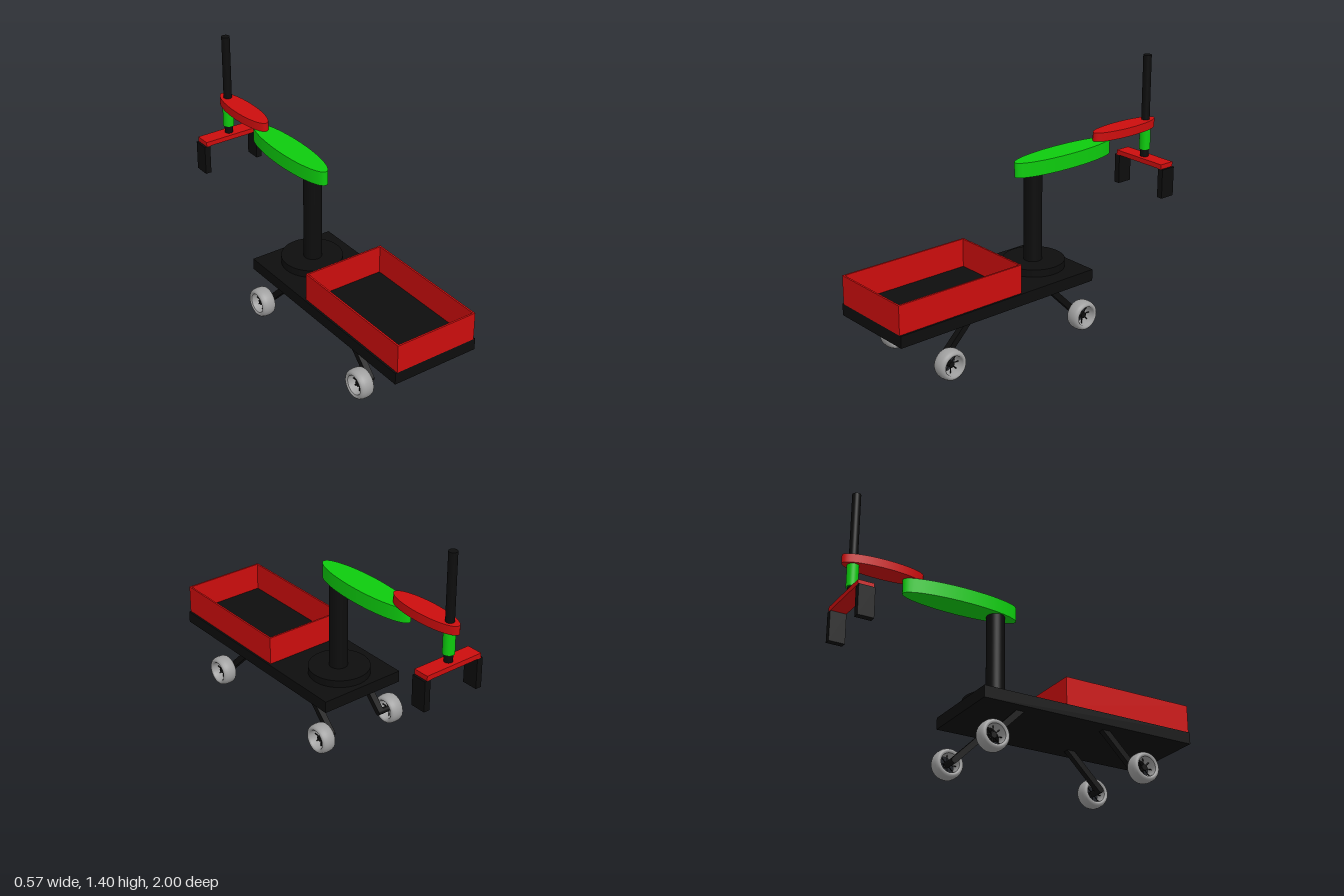
import * as THREE from 'three';

export function createModel() {
  const mat = (name, color, side = THREE.FrontSide) => {
    const m = new THREE.MeshStandardMaterial({ color, side });
    m.name = name;
    return m;
  };
  const black = mat('black', 0x0d0d0d);
  const red = mat('red', 0xcc0d0d);
  const green = mat('green', 0x0dcc0d);
  const grey = mat('grey', 0xa0a0a0, THREE.DoubleSide);

  const model = new THREE.Group();
  model.name = 'robotCart';

  const add = (name, geo, material, parent = model) => {
    const mesh = new THREE.Mesh(geo, material);
    mesh.name = name;
    parent.add(mesh);
    return mesh;
  };
  // Box given by its min and max on each axis
  const box = (name, material, [x0, x1], [y0, y1], [z0, z1]) =>
    add(name, new THREE.BoxGeometry(x1 - x0, y1 - y0, z1 - z0), material)
      .position.set((x0 + x1) / 2, (y0 + y1) / 2, (z0 + z1) / 2);
  // Upright cylinder, optionally elliptical in z
  const post = (name, material, z, y0, y1, rx, rz = rx) => {
    const geo = new THREE.CylinderGeometry(1, 1, y1 - y0, 48).scale(rx, 1, rz);
    add(name, geo, material).position.set(0, (y0 + y1) / 2, z);
  };

  // Platform
  box('platform', black, [-0.258, 0.258], [0.283, 0.35], [-0.294, 1]);

  // Open cargo tray with thin walls
  const w = 0.247, t = 0.01, trayY = [0.35, 0.512];
  box('trayFront', red, [-w, w], trayY, [1 - t, 1]);
  box('trayBack', red, [-w, w], trayY, [0.208, 0.208 + t]);
  for (const s of [-1, 1]) {
    const c = s * (w - t / 2);
    box('traySide', red, [c - t / 2, c + t / 2], trayY, [0.208 + t, 1 - t]);
  }

  // Turntable, column and two-link arm
  post('turntable', black, -0.09, 0.35, 0.392, 0.172);
  post('column', black, -0.083, 0.39, 0.892, 0.051);
  post('lowerArm', green, -0.302, 0.892, 0.975, 0.079, 0.345);
  post('upperArm', red, -0.765, 0.975, 1.025, 0.064, 0.235);

  // Sliding rod and its sleeve
  const toolZ = -0.936;
  post('rod', black, toolZ, 0.802, 1.403, 0.024);
  post('sleeve', green, toolZ, 0.847, 0.975, 0.032);

  // Gripper
  const gripZ = [toolZ - 0.046, toolZ + 0.046];
  box('gripperBar', red, [-0.18, 0.18], [0.775, 0.803], gripZ);
  for (const s of [-1, 1]) {
    box('gripperFinger', black, [s * 0.175 - 0.018, s * 0.175 + 0.018], [0.602, 0.775], gripZ);
  }

  // Rounded tyre ring, closed cross-section around the axle
  const tyreProfile = [
    [0.055, -0.036], [0.062, -0.042], [0.07, -0.041], [0.078, -0.034], [0.083, -0.02],
    [0.0845, 0], [0.083, 0.02], [0.078, 0.034], [0.07, 0.041], [0.062, 0.042],
    [0.055, 0.036], [0.053, 0], [0.055, -0.036],
  ].map(([r, x]) => new THREE.Vector2(r, x));
  const tyreGeo = new THREE.LatheGeometry(tyreProfile, 40).rotateZ(-Math.PI / 2);
  const axleGeo = new THREE.CylinderGeometry(0.017, 0.017, 0.1, 20).rotateZ(Math.PI / 2);
  const spokeGeo = new THREE.CylinderGeometry(0.003, 0.003, 0.056, 6).translate(0, 0.028, 0);

  // Four legs splayed at 45 degrees, each with an axle and a spoked wheel
  const axleY = 0.09;
  for (const [end, z, topZ] of [['front', 0.686, 0.478], ['rear', -0.235, -0.027]]) {
    for (const s of [-1, 1]) {
      const leg = new THREE.Group();
      leg.name = end + 'Leg';
      model.add(leg);

      const dz = topZ - z, dy = 0.298 - axleY;
      const strut = add('strut', new THREE.BoxGeometry(0.035, Math.hypot(dz, dy), 0.034), black, leg);
      strut.position.set(s * 0.174, axleY + dy / 2, z + dz / 2);
      strut.rotation.x = Math.atan2(dz, dy);

      add('axle', axleGeo, black, leg).position.set(s * 0.207, axleY, z);

      const wheel = new THREE.Group();
      wheel.name = end + 'Wheel';
      wheel.position.set(s * 0.242, axleY, z);
      leg.add(wheel);
      add('tyre', tyreGeo, grey, wheel);
      for (let i = 0; i < 8; i++) {
        add('spoke', spokeGeo, black, wheel).rotation.x = i * Math.PI / 4;
      }
    }
  }
  return model;
}
